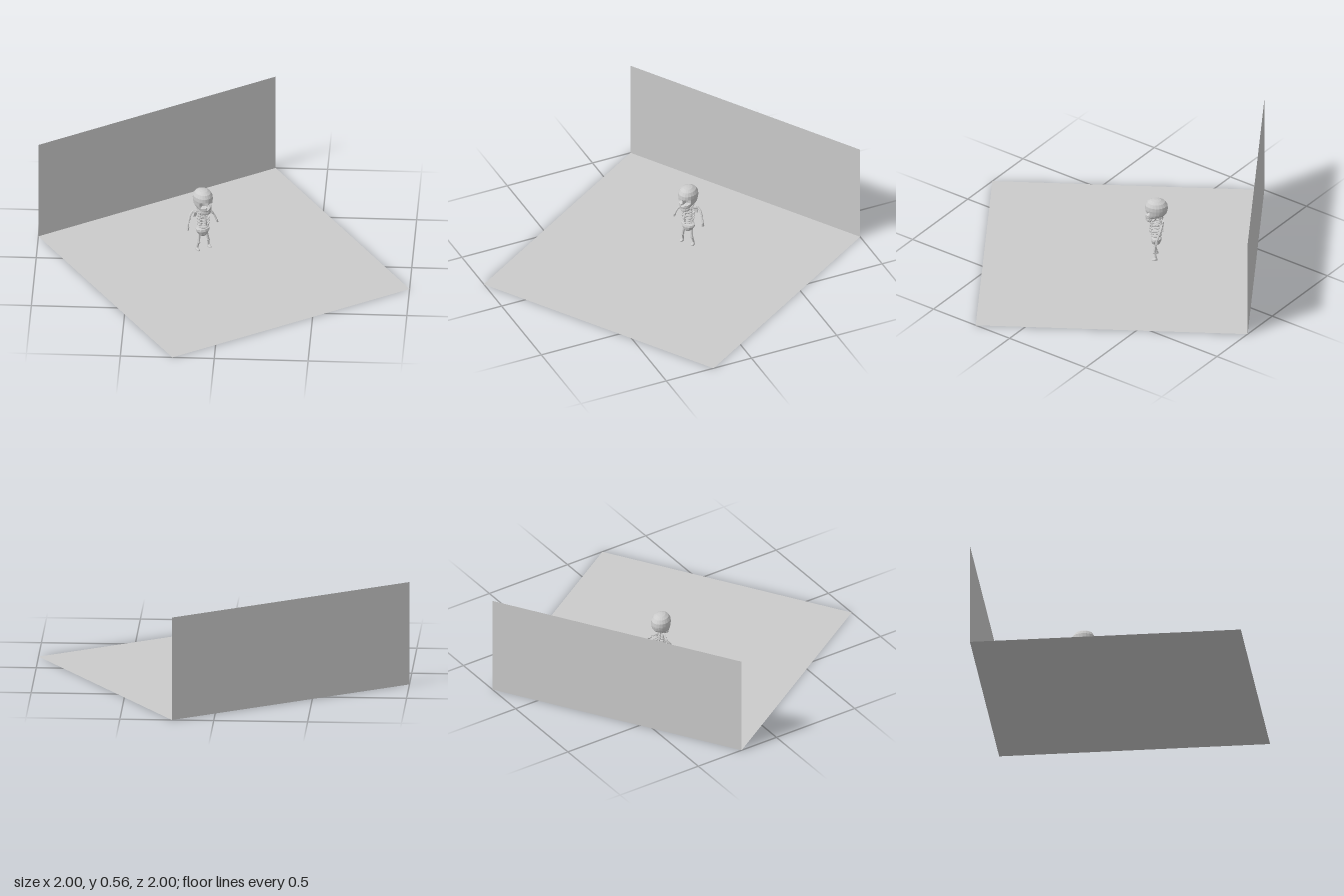
import * as THREE from 'three';

const bone = new THREE.MeshStandardMaterial({ color: 0xcccccc, flatShading: true, side: THREE.DoubleSide });
const HALF = 0.7246;   // half side of the square floor
const WALL = 0.565;    // wall height
const TURN = 0.566;    // whole scene is turned about the vertical

function add(parent, name, geometry, x = 0, y = 0, z = 0) {
  const mesh = new THREE.Mesh(geometry, bone);
  mesh.name = name;
  mesh.position.set(x, y, z);
  parent.add(mesh);
  return mesh;
}

// Closed loft through rings [y, halfWidth, zBack, zFront]; push(a, y) shrinks a vertex inward.
function loft(rings, sides, push = () => 0) {
  const first = rings[0], last = rings[rings.length - 1];
  const tip = (r) => [r[0], 0, (r[2] + r[3]) / 2, (r[2] + r[3]) / 2];
  const all = [tip(first), ...rings, tip(last)];
  const pos = [], index = [];
  all.forEach(([y, w, zb, zf], i) => {
    for (let j = 0; j < sides; j++) {
      const a = (j / sides) * Math.PI * 2;
      const k = 1 - push(a, y);
      pos.push(w * k * Math.sin(a), y, (zb + zf) / 2 + ((zf - zb) / 2) * k * Math.cos(a));
      if (i === all.length - 1) continue;
      const p = i * sides + j, q = i * sides + ((j + 1) % sides);
      index.push(p, q, q + sides, p, q + sides, p + sides);
    }
  });
  const g = new THREE.BufferGeometry();
  g.setAttribute('position', new THREE.Float32BufferAttribute(pos, 3));
  g.setIndex(index);
  g.computeVertexNormals();
  return g;
}

// Bone along a smooth path.
function tube(points, radius, sides = 6, steps = 8) {
  const curve = new THREE.CatmullRomCurve3(points.map((p) => new THREE.Vector3(...p)));
  return new THREE.TubeGeometry(curve, steps, radius, sides, false);
}

function buildHead() {
  const head = new THREE.Group();
  head.name = 'head';
  // Eye sockets and nose hole are pressed into the front of the skull.
  const face = (a, y) => {
    const off = Math.abs(Math.atan2(Math.sin(a), Math.cos(a)));
    if (y > 0.278 && y < 0.302 && off > 0.25 && off < 0.75) return 0.28;
    if (y > 0.264 && y < 0.276 && off < 0.1) return 0.2;
    return 0;
  };
  add(head, 'skull', loft([
    [0.249, 0.030, 0.010, 0.054],
    [0.258, 0.035, -0.015, 0.057],
    [0.270, 0.044, -0.048, 0.056],
    [0.281, 0.048, -0.057, 0.055],
    [0.299, 0.050, -0.062, 0.057],
    [0.308, 0.051, -0.063, 0.060],
    [0.328, 0.050, -0.061, 0.058],
    [0.346, 0.040, -0.048, 0.047],
    [0.357, 0.023, -0.027, 0.028],
    [0.360, 0.008, -0.010, 0.010],
  ], 20, face));
  add(head, 'jaw', loft([
    [0.228, 0.022, 0.014, 0.050],
    [0.236, 0.029, 0.006, 0.057],
    [0.246, 0.031, 0.004, 0.056],
  ], 12));
  // Jaw hinges and a row of teeth closing the gap.
  for (const s of [-1, 1]) {
    add(head, 'jawHinge', tube([[s * 0.027, 0.238, 0.022], [s * 0.035, 0.252, 0.006], [s * 0.038, 0.266, 0]], 0.005));
  }
  for (let i = -2; i <= 2; i++) {
    const a = i * 0.3;
    add(head, 'tooth', new THREE.BoxGeometry(0.006, 0.008, 0.004),
      0.028 * Math.sin(a), 0.2475, 0.029 + 0.024 * Math.cos(a)).rotation.y = a;
  }
  return head;
}

function buildTorso() {
  const torso = new THREE.Group();
  torso.name = 'torso';
  add(torso, 'spine', tube([[0, 0.10, -0.012], [0, 0.14, -0.022], [0, 0.19, -0.03], [0, 0.225, -0.024], [0, 0.262, -0.01]], 0.006));
  for (let i = 0; i < 8; i++) {
    add(torso, 'vertebra', new THREE.BoxGeometry(0.014, 0.007, 0.014), 0, 0.125 + i * 0.015, -0.025);
  }
  // Ribs are oval hoops that dip toward the front.
  const ribs = [[0.143, 0.029], [0.160, 0.033], [0.177, 0.034], [0.194, 0.033], [0.211, 0.028]];
  for (const [y, w] of ribs) {
    const g = new THREE.TorusGeometry(1, 0.1, 5, 16);
    g.rotateX(Math.PI / 2);
    g.scale(w, 0.036, w * 1.02);
    add(torso, 'rib', g, 0, y, 0).rotation.x = 0.12;
  }
  add(torso, 'breastbone', tube([[0, 0.208, 0.027], [0, 0.18, 0.033], [0, 0.152, 0.032]], 0.005));
  add(torso, 'pelvis', loft([
    [0.080, 0.012, -0.014, 0.014],
    [0.092, 0.027, -0.024, 0.024],
    [0.112, 0.039, -0.030, 0.028],
    [0.124, 0.040, -0.030, 0.024],
    [0.128, 0.026, -0.024, 0.012],
  ], 10));
  return torso;
}

function buildLimbs(s) {
  const side = new THREE.Group();
  side.name = s > 0 ? 'leftLimbs' : 'rightLimbs';
  add(side, 'collarbone', tube([[0, 0.219, 0.022], [s * 0.02, 0.224, 0.006], [s * 0.04, 0.222, -0.028]], 0.004));
  const blade = add(side, 'shoulderBlade', new THREE.BoxGeometry(0.02, 0.034, 0.005), s * 0.024, 0.198, -0.038);
  blade.rotation.z = s * 0.25;
  // Arm bows outward and forward.
  add(side, 'upperArm', tube([[s * 0.037, 0.224, -0.034], [s * 0.058, 0.208, -0.030], [s * 0.072, 0.185, -0.022]], 0.006));
  add(side, 'elbow', new THREE.IcosahedronGeometry(0.007, 0), s * 0.072, 0.184, -0.022);
  add(side, 'forearm', tube([[s * 0.072, 0.185, -0.022], [s * 0.082, 0.165, -0.014], [s * 0.088, 0.147, -0.008]], 0.005));
  const hand = add(side, 'hand', new THREE.BoxGeometry(0.007, 0.018, 0.014), s * 0.089, 0.141, -0.006);
  hand.rotation.z = s * 0.2;
  // Leg
  add(side, 'thigh', tube([[s * 0.022, 0.094, 0], [s * 0.026, 0.07, 0.004], [s * 0.029, 0.047, 0.006]], 0.0075));
  add(side, 'knee', new THREE.IcosahedronGeometry(0.009, 0), s * 0.029, 0.046, 0.007);
  add(side, 'shin', tube([[s * 0.029, 0.047, 0.006], [s * 0.032, 0.03, 0.002], [s * 0.034, 0.006, -0.003]], 0.006));
  add(side, 'foot', loft([
    [0, 0.009, -0.010, 0.024],
    [0.006, 0.009, -0.010, 0.022],
    [0.013, 0.006, -0.009, 0.006],
  ], 8), s * 0.035, 0, 0);
  return side;
}

export function createModel() {
  const model = new THREE.Group();
  model.name = 'skeletonScene';
  model.rotation.y = TURN;

  // Floor and back wall
  add(model, 'floor', new THREE.PlaneGeometry(HALF * 2, HALF * 2).rotateX(-Math.PI / 2));
  add(model, 'backWall', new THREE.PlaneGeometry(HALF * 2, WALL), 0, WALL / 2, -HALF);

  // Figure, placed at (-0.12, -0.15) in the turned scene
  const skeleton = new THREE.Group();
  skeleton.name = 'skeleton';
  skeleton.position.set(-0.12, 0, -0.15).applyAxisAngle(new THREE.Vector3(0, 1, 0), -TURN);
  skeleton.add(buildHead(), buildTorso(), buildLimbs(1), buildLimbs(-1));
  model.add(skeleton);

  const root = new THREE.Group();
  root.name = 'model';
  root.add(model);
  return root;
}
